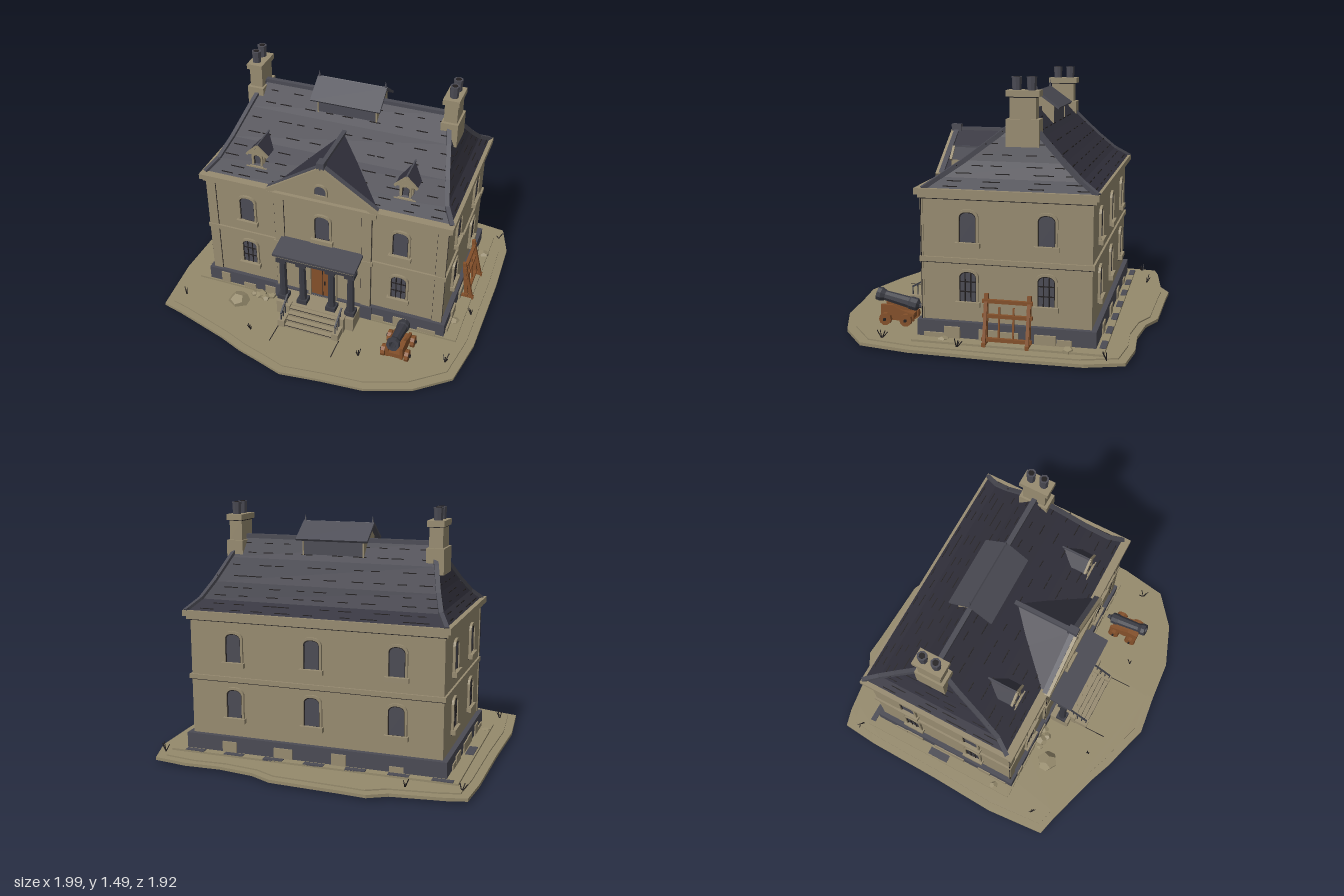
import * as THREE from 'three';

const mat = (name, color) => {
  const m = new THREE.MeshStandardMaterial({ color, side: THREE.DoubleSide, flatShading: true });
  m.name = name;
  return m;
};
const V = (x, y, z) => new THREE.Vector3(x, y, z);

export function createModel() {
  const root = new THREE.Group();
  root.name = 'oldManor';
  const stone = mat('stone', 0x978b70), earth = mat('earth', 0x958a6c), roofMat = mat('roofSlate', 0x32313c);
  const slate = mat('greySlate', 0x4b4b54), wood = mat('wood', 0x84502a), ink = mat('inkLine', 0x221f20);
  const iron = mat('iron', 0x3b3c44);
  let seed = 7;
  const rnd = () => (seed = (seed * 16807) % 2147483647) / 2147483647;

  // helpers
  const add = (name, geo, m, parent = root) => {
    const o = new THREE.Mesh(geo, m);
    o.name = name;
    parent.add(o);
    return o;
  };
  // box from min and max bounds
  const box = (name, m, x0, x1, y0, y1, z0, z1, parent) => {
    const o = add(name, new THREE.BoxGeometry(x1 - x0, y1 - y0, z1 - z0), m, parent);
    o.position.set((x0 + x1) / 2, (y0 + y1) / 2, (z0 + z1) / 2);
    return o;
  };
  // square bar between two points
  const bar = (name, m, a, b, w, h = w, parent = root) => {
    const o = new THREE.Mesh(new THREE.BoxGeometry(w, h, a.distanceTo(b)), m);
    o.name = name;
    o.position.copy(a).add(b).multiplyScalar(0.5);
    o.lookAt(b);
    parent.add(o);
    return o;
  };
  const extrude = (shape, depth) => new THREE.ExtrudeGeometry(shape, { depth, bevelEnabled: false, curveSegments: 5 });
  const poly = pts => new THREE.Shape(pts.map(p => new THREE.Vector2(...p)));
  const arch = (w, h, r = 0.6) => { // arched outline standing on y = 0
    const s = new THREE.Shape(), k = h - w * r;
    s.moveTo(-w, 0); s.lineTo(w, 0); s.lineTo(w, k);
    s.quadraticCurveTo(w * 0.85, h, 0, h);
    s.quadraticCurveTo(-w * 0.85, h, -w, k);
    return s;
  };
  const windowAt = (x, y, z, turn, barred, w = 0.048, h = 0.17) => {
    const g = new THREE.Group();
    g.name = 'window';
    add('pane', extrude(arch(w, h), 0.004), slate, g);
    const f = arch(w + 0.013, h + 0.014);
    f.holes.push(arch(w, h));
    add('frame', extrude(f, 0.014), stone, g);
    const line = arch(w, h);
    line.holes.push(arch(w - 0.005, h - 0.006));
    add('innerEdge', extrude(line, 0.007), ink, g);
    box('sill', stone, -w - 0.022, w + 0.022, -0.028, 0, 0, 0.028, g);
    box('sillShadow', ink, -w - 0.016, w + 0.016, -0.032, -0.028, 0, 0.012, g);
    if (barred) {
      for (const bx of [-w / 3, w / 3]) box('glazingBar', ink, bx - 0.003, bx + 0.003, 0, h - 0.01, 0, 0.008, g);
      for (const by of [0.33, 0.66]) box('glazingBar', ink, -w, w, h * by - 0.003, h * by + 0.003, 0, 0.008, g);
    }
    g.position.set(x, y, z);
    g.rotation.y = turn;
    root.add(g);
  };

  // ground
  const edge = [[-0.95, -0.83], [-0.84, -0.86], [-0.54, -0.9], [-0.43, -0.96], [-0.3, -0.95], [0.14, -0.93], [0.27, -0.87],
    [0.49, -0.84], [0.7, -0.85], [0.91, -0.82], [0.98, -0.61], [0.99, -0.24], [0.98, 0.35], [0.93, 0.65], [0.73, 0.81], [0.46, 0.91],
    [0.2, 0.93], [-0.05, 0.96], [-0.21, 0.91], [-0.35, 0.87], [-0.5, 0.81], [-0.69, 0.75], [-0.85, 0.7], [-0.97, 0.67],
    [-1, 0.3], [-0.98, -0.13], [-0.97, -0.61]];
  const land = (name, k, y0, y1) => {
    const o = add(name, extrude(poly(edge.map(([x, z]) => [x * k, -z * k])), y1 - y0), earth);
    o.rotation.x = -Math.PI / 2;
    o.position.y = y0;
  };
  land('ground', 1, 0, 0.018);
  land('groundRise', 0.95, 0.018, 0.026);
  box('paving', earth, -0.87, 0.87, 0.02, 0.038, -0.7, 0.37);
  for (let i = 0; i < 7; i++) box('slatePatch', slate, -0.84 + i * 0.25, -0.72 + i * 0.25, 0.03, 0.042, -0.7, -0.665);
  box('slatePatch', slate, -0.86, -0.81, 0.03, 0.042, -0.24, -0.1);
  box('pathEdge', ink, -0.205, -0.2, 0.02, 0.028, 0.61, 0.75);
  box('pathEdge', ink, 0.195, 0.2, 0.02, 0.028, 0.61, 0.75);

  // walls, plinth and bands
  box('walls', stone, -0.765, 0.76, 0.03, 0.85, -0.62, 0.335);
  box('centreBay', stone, -0.31, 0.31, 0.03, 0.85, 0.3, 0.352);
  box('plinth', slate, -0.795, 0.79, 0.03, 0.13, -0.65, 0.36);
  box('bayPlinth', slate, -0.325, 0.325, 0.03, 0.13, 0.3, 0.372);
  for (let i = 0; i < 9; i++) { // rubble slabs over the plinth
    const x = -0.68 + i * 0.17, w = 0.03 + rnd() * 0.04, h = 0.06 + rnd() * 0.06;
    if (Math.abs(x) > 0.3) box('rubbleSlab', stone, x - w, x + w, 0.03, h, 0.34, 0.368);
    if (i % 2) box('rubbleSlab', stone, x - w, x + w, 0.03, h, -0.658, -0.6);
    const z = -0.58 + i * 0.105;
    for (const s of [-1, 1]) if (i % 3) box('rubbleSlab', stone, s * 0.79 - 0.012, s * 0.79 + 0.012, 0.03, h, z - w, z + w);
  }
  const band = (name, m, y0, y1, out) => {
    box(name, m, -0.765 - out, 0.76 + out, y0, y1, -0.62 - out, 0.335 + out);
    box(name, m, -0.31 - out, 0.31 + out, y0, y1, 0.3, 0.352 + out);
  };
  band('stringCourse', stone, 0.462, 0.49, 0.012);
  band('stringShadow', ink, 0.457, 0.462, 0.006);
  band('friezeShadow', ink, 0.815, 0.821, 0.008);
  band('frieze', stone, 0.821, 0.845, 0.018);
  band('cornice', stone, 0.84, 0.875, 0.034);
  for (const x of [-0.74, -0.28, 0.28, 0.735]) { // pilasters
    const z = Math.abs(x) < 0.5 ? 0.352 : 0.335;
    box('pilaster', stone, x - 0.03, x + 0.03, 0.13, 0.83, z - 0.01, z + 0.007);
    for (const e of [-0.032, 0.03]) box('pilasterEdge', ink, x + e, x + e + 0.002, 0.13, 0.82, z, z + 0.004);
  }

  // windows on all four sides
  for (const y of [0.58, 0.245]) {
    const low = y < 0.5;
    for (const x of [-0.5, 0, 0.485]) {
      if (x || !low) windowAt(x, y, x ? 0.335 : 0.352, 0, low);
      windowAt(x, y, -0.62, Math.PI, false);
    }
    for (const z of [0.07, -0.37]) {
      windowAt(0.76, y, z, Math.PI / 2, low);
      windowAt(-0.765, y, z, -Math.PI / 2, low);
    }
  }

  // flared hip roof: rows of height, half width, front z, back z
  const rows = [[0.87, 0.775, 0.325, -0.645], [0.93, 0.72, 0.24, -0.55], [1.02, 0.68, 0.11, -0.45],
    [1.15, 0.635, -0.06, -0.32], [1.265, 0.59, -0.2, -0.215]];
  const corners = rows.map(([y, x, f, b]) => [V(-x, y, f), V(x, y, f), V(x, y, b), V(-x, y, b)]);
  const pos = [];
  const tri = (...p) => p.forEach(v => pos.push(v.x, v.y, v.z));
  for (let i = 0; i < 4; i++) for (let j = 0; j < 4; j++) {
    const a = corners[i][j], b = corners[i][(j + 1) % 4], c = corners[i + 1][(j + 1) % 4], d = corners[i + 1][j];
    tri(a, b, c); tri(a, c, d);
    bar('hipTrim', slate, a, d, 0.026, 0.026);
    // broken slate courses
    const n = j % 2 ? 4 : 9;
    for (let k = 0; k < n; k++) for (const t of [0.25, 0.7]) {
      const p = a.clone().lerp(d, t), q = b.clone().lerp(c, t), u = (k + 0.1 + rnd() * 0.6) / n;
      const dir = d.clone().add(c).sub(a).sub(b).normalize();
      const s = p.clone().lerp(q, u), e = p.clone().lerp(q, u + (0.3 + rnd() * 0.3) / n);
      const o = bar('slateCourse', ink, s, e, 0.005, 0.005);
      o.position.addScaledVector(dir, 0.002);
    }
  }
  tri(corners[4][0], corners[4][1], corners[4][2]); tri(corners[4][0], corners[4][2], corners[4][3]);
  const roofGeo = new THREE.BufferGeometry();
  roofGeo.setAttribute('position', new THREE.Float32BufferAttribute(pos, 3));
  roofGeo.computeVertexNormals();
  add('mainRoof', roofGeo, roofMat);
  bar('ridge', slate, V(-0.6, 1.27, -0.208), V(0.6, 1.27, -0.208), 0.03, 0.025);

  // pediment
  const gable = (name, m, w, y0, y1, z0, z1, x = 0) => {
    const o = add(name, extrude(poly([[-w, y0], [w, y0], [0, y1]]), z1 - z0), m);
    o.position.set(x, 0, z0);
  };
  gable('gableRoof', roofMat, 0.335, 0.87, 1.115, -0.08, 0.355);
  gable('tympanum', stone, 0.3, 0.875, 1.085, 0.355, 0.362);
  bar('gableRidge', slate, V(0, 1.118, -0.06), V(0, 1.118, 0.37), 0.026, 0.02);
  box('ridgeStone', slate, -0.022, 0.022, 1.09, 1.145, 0.32, 0.38);
  for (const s of [-1, 1]) {
    bar('rakeCornice', stone, V(s * 0.345, 0.872, 0.367), V(0, 1.098, 0.367), 0.034, 0.032);
    bar('rakeShadow', ink, V(s * 0.3, 0.88, 0.363), V(0, 1.078, 0.363), 0.006, 0.006);
    bar('rakeSlate', slate, V(s * 0.345, 0.886, 0.35), V(0, 1.118, 0.35), 0.03, 0.012);
  }
  const lunette = arch(0.036, 0.065, 0.9);
  add('lunettePane', extrude(lunette, 0.004), slate).position.set(-0.005, 0.915, 0.362);
  const ring = arch(0.046, 0.077, 0.9);
  ring.holes.push(arch(0.036, 0.065, 0.9));
  add('lunetteFrame', extrude(ring, 0.012), stone).position.set(-0.005, 0.913, 0.362);

  // dormers
  for (const x of [-0.465, 0.47]) {
    box('dormerBody', stone, x - 0.042, x + 0.042, 0.91, 1.015, 0, 0.22);
    gable('dormerRoof', roofMat, 0.068, 1.0, 1.065, 0.02, 0.228, x);
    gable('dormerFront', stone, 0.055, 1.004, 1.052, 0.228, 0.234, x);
    for (const s of [-1, 1]) bar('dormerRake', stone, V(x + s * 0.068, 1.0, 0.23), V(x, 1.066, 0.23), 0.014, 0.014);
    bar('dormerRidge', slate, V(x, 1.068, 0.04), V(x, 1.068, 0.225), 0.01, 0.008);
    box('dormerSill', stone, x - 0.066, x + 0.066, 0.905, 0.928, 0.18, 0.25);
    windowAt(x, 0.932, 0.221, 0, false, 0.022, 0.07);
  }

  // roof lantern
  box('lanternWalls', slate, -0.195, 0.175, 1.15, 1.3, -0.29, -0.1);
  for (const x of [-0.2, 0.172]) {
    const g = add('lanternEnd', extrude(poly([[-0.1, 1.15], [0.1, 1.15], [0.1, 1.29], [0, 1.36], [-0.1, 1.29]]), 0.008), stone);
    g.rotation.y = Math.PI / 2;
    g.position.set(x, 0, -0.195);
  }
  for (const z of [-0.06, -0.33])
    bar('lanternRoof', slate, V(-0.012, 1.272, z), V(-0.012, 1.368, -0.195), 0.44, 0.014);
  for (const x of [-0.222, 0.198])
    add('lanternFinial', new THREE.ConeGeometry(0.011, 0.06, 5), slate).position.set(x, 1.385, -0.195);

  // chimneys
  for (const x of [-0.622, 0.615]) {
    const s = Math.sign(x);
    box('chimneyBase', stone, x - 0.052, x + 0.052, 1.1, 1.25, -0.305, -0.12);
    box('chimneyStack', stone, x - 0.04, x + 0.04, 1.25, 1.38, -0.285, -0.14);
    box('chimneyLine', ink, x - 0.042, x + 0.042, 1.365, 1.371, -0.287, -0.138);
    box('chimneyCap', stone, x - 0.05, x + 0.05, 1.371, 1.405, -0.305, -0.12);
    for (const z of [-0.172, -0.255]) {
      add('chimneyPot', new THREE.CylinderGeometry(0.029, 0.025, 0.075, 8), slate).position.set(x + s * 0.004, 1.44, z);
      add('potOpening', new THREE.CylinderGeometry(0.018, 0.018, 0.002, 8), ink).position.set(x + s * 0.004, 1.478, z);
    }
  }

  // door
  const doorFrame = arch(0.095, 0.285);
  doorFrame.holes.push(arch(0.076, 0.26));
  add('doorFrame', extrude(doorFrame, 0.022), stone).position.set(0, 0.125, 0.352);
  add('door', extrude(arch(0.076, 0.26), 0.01), wood).position.set(0, 0.125, 0.352);
  box('doorSplit', ink, -0.002, 0.002, 0.13, 0.383, 0.36, 0.364);
  box('doorHandle', ink, 0.01, 0.018, 0.22, 0.25, 0.36, 0.368);

  // portico and steps
  box('porch', stone, -0.26, 0.25, 0.02, 0.12, 0.34, 0.5);
  for (let i = 0; i < 4; i++) {
    box('step', stone, -0.16, 0.15, 0.02, 0.115 - i * 0.023, 0.48, 0.525 + i * 0.028);
    box('stepLine', ink, -0.16, 0.15, 0.108 - i * 0.023, 0.111 - i * 0.023, 0.5, 0.5265 + i * 0.028);
  }
  for (const x of [-0.185, 0.172]) {
    box('stepWall', stone, x - 0.022, x + 0.022, 0.02, 0.075, 0.48, 0.615);
    box('stepPost', stone, x - 0.026, x + 0.026, 0.02, 0.13, 0.48, 0.53);
    bar('handrail', iron, V(x, 0.19, 0.49), V(x, 0.125, 0.605), 0.01);
    for (let i = 0; i < 4; i++) box('baluster', iron, x - 0.003, x + 0.003, 0.07, 0.18 - i * 0.019, 0.503 + i * 0.032, 0.509 + i * 0.032);
  }
  for (const x of [-0.23, -0.1, 0.09, 0.215]) {
    add('column', new THREE.CylinderGeometry(0.021, 0.026, 0.3, 8), iron).position.set(x, 0.29, 0.445);
    box('columnBase', iron, x - 0.032, x + 0.032, 0.12, 0.15, 0.413, 0.477);
    box('columnCapital', iron, x - 0.032, x + 0.032, 0.42, 0.45, 0.413, 0.477);
  }
  box('porticoBeam', iron, -0.25, 0.24, 0.447, 0.482, 0.35, 0.485);
  box('porticoCornice', stone, -0.262, 0.252, 0.48, 0.492, 0.35, 0.5);
  bar('porticoRoof', slate, V(-0.005, 0.524, 0.35), V(-0.005, 0.498, 0.508), 0.53, 0.018);

  // cannon
  const cannon = new THREE.Group();
  cannon.name = 'cannon';
  const profile = [[0, -0.15], [0.014, -0.145], [0.016, -0.125], [0.038, -0.11], [0.04, -0.07], [0.035, -0.06], [0.03, 0.09], [0.042, 0.115], [0.04, 0.14], [0.022, 0.14], [0.02, 0.08], [0, 0.08]];
  const barrel = add('barrel', new THREE.LatheGeometry(profile.map(p => new THREE.Vector2(...p)), 9), iron, cannon);
  barrel.position.set(0, 0.16, 0.0);
  barrel.rotation.x = Math.PI / 2 - 0.22;
  box('axleBed', wood, -0.05, 0.05, 0.055, 0.085, -0.09, 0.1, cannon);
  for (const s of [-1, 1]) {
    const side = add('carriageCheek', extrude(poly([[-0.1, 0.05], [0.1, 0.05], [0.1, 0.14], [0.03, 0.14], [-0.02, 0.115], [-0.1, 0.09]]), 0.018), wood, cannon);
    side.rotation.y = -Math.PI / 2;
    side.position.x = s * 0.045 + 0.009;
    for (const z of [-0.06, 0.065]) {
      const wheel = add('wheel', new THREE.CylinderGeometry(0.037, 0.037, 0.024, 10), wood, cannon);
      wheel.rotation.z = Math.PI / 2;
      wheel.position.set(s * 0.073, 0.062, z);
      box('axleEnd', ink, s * 0.089 - 0.006, s * 0.089 + 0.006, 0.055, 0.069, z - 0.007, z + 0.007, cannon);
    }
  }
  cannon.position.set(0.56, 0, 0.545);
  root.add(cannon);

  // timber frame by the side wall
  for (const z of [-0.045, -0.285]) {
    bar('framePost', wood, V(0.835, 0.03, z), V(0.803, 0.31, z), 0.022);
    bar('frameBrace', wood, V(0.87, 0.03, z), V(0.808, 0.28, z), 0.018);
    bar('frameFoot', wood, V(0.8, 0.04, z), V(0.88, 0.04, z), 0.022);
  }
  for (const [y, x] of [[0.27, 0.81], [0.19, 0.82], [0.06, 0.835]]) bar('frameRail', wood, V(x, y, -0.025), V(x, y, -0.305), 0.02);
  for (const z of [-0.12, -0.2]) bar('frameStake', wood, V(0.832, 0.06, z), V(0.815, 0.24, z), 0.01);

  // rocks and grass
  const rocks = [[-0.53, 0.49, 0.07], [-0.42, 0.39, 0.04], [-0.38, 0.41, 0.03], [-0.46, 0.4, 0.025], [-0.35, 0.38, 0.03],
    [0.84, -0.5, 0.04], [0.82, 0.2, 0.035], [-0.84, 0.25, 0.03]];
  rocks.forEach(([x, z, r], i) => {
    const o = add('rock', new THREE.DodecahedronGeometry(r), earth);
    o.position.set(x, 0.03, z);
    o.rotation.y = i;
    o.scale.y = 0.7;
  });
  const tufts = [[-0.9, -0.75], [0.9, -0.72], [-0.88, 0.55], [0.85, 0.55], [-0.35, 0.7], [0.35, 0.68], [0.9, 0.1], [-0.6, -0.8]];
  for (const [x, z] of tufts) for (let i = 0; i < 4; i++)
    bar('grassBlade', ink, V(x, 0.02, z), V(x + rnd() * 0.06 - 0.03, 0.05 + rnd() * 0.03, z + rnd() * 0.06 - 0.03), 0.004);

  return root;
}
